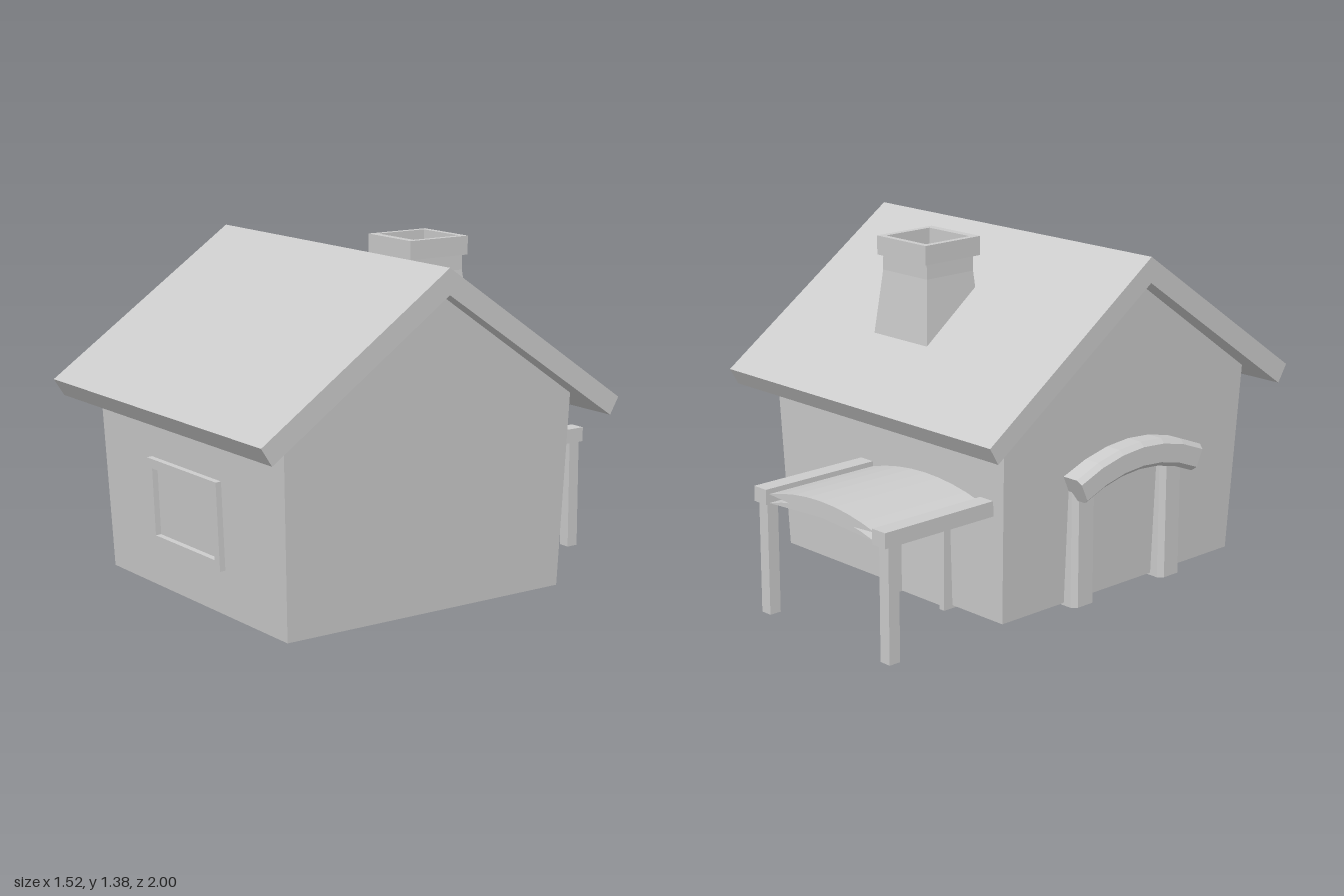
import * as THREE from 'three';

const mat = new THREE.MeshStandardMaterial({ color: 0xcccccc, flatShading: true, side: THREE.DoubleSide });

export function createModel() {
  const house = new THREE.Group();
  house.name = 'cottage';

  const add = (name, geometry) => {
    const mesh = new THREE.Mesh(geometry, mat);
    mesh.name = name;
    house.add(mesh);
    return mesh;
  };

  // Box given by its limits on each axis
  const box = (name, x0, x1, y0, y1, z0, z1) => {
    const g = new THREE.BoxGeometry(x1 - x0, y1 - y0, z1 - z0);
    g.translate((x0 + x1) / 2, (y0 + y1) / 2, (z0 + z1) / 2);
    return add(name, g);
  };

  // Skin over a row of rings (counter-clockwise seen from the last ring)
  const loft = (rings, capped = true) => {
    const n = rings[0].length, index = [];
    for (let k = 0; k < rings.length - 1; k++) {
      for (let i = 0; i < n; i++) {
        const j = (i + 1) % n, a = k * n + i, b = k * n + j;
        index.push(a, b, b + n, a, b + n, a + n);
      }
    }
    const last = (rings.length - 1) * n;
    for (let i = 1; capped && i < n - 1; i++) {
      index.push(0, i + 1, i, last, last + i, last + i + 1);
    }
    const g = new THREE.BufferGeometry();
    g.setAttribute('position', new THREE.Float32BufferAttribute(rings.flat(2), 3));
    g.setIndex(index);
    const flat = g.toNonIndexed();
    flat.computeVertexNormals();
    return flat;
  };

  const extrude = (points, depth, hole) => {
    const shape = new THREE.Shape(points.map(p => new THREE.Vector2(...p)));
    if (hole) shape.holes.push(new THREE.Path(hole.map(p => new THREE.Vector2(...p))));
    return new THREE.ExtrudeGeometry(shape, { depth, bevelEnabled: false });
  };
  const rect = (x0, x1, y0, y1) => [[x0, y0], [x1, y0], [x1, y1], [x0, y1]];

  // Walls: gabled block that widens slightly upward
  const gable = [[0.03, -0.457], [0.815, -0.482], [1.28, 0.18], [0.815, 0.847], [0.03, 0.815]];
  add('walls', loft([-1, 1].map(s =>
    gable.map(([y, z]) => [0.006 + s * (0.631 + 0.042 * (y - 0.03)), y, z]))));

  // Roof: folded slab with the ridge along x
  const roof = extrude([[-1, 0.8], [-0.955, 0.73], [-0.18, 1.26], [0.61, 0.718], [0.65, 0.785], [-0.18, 1.36]], 1.52);
  roof.rotateY(Math.PI / 2).translate(-0.76, 0, 0);
  add('roof', roof);

  // Chimney: flared hollow stack with a collar
  const square = (y, x0, x1, z0, z1) => [[x0, y, z1], [x1, y, z1], [x1, y, z0], [x0, y, z0]];
  add('chimneyStack', loft([
    square(0.95, -0.107, 0.207, -0.362, -0.068),
    square(1.24, -0.077, 0.177, -0.332, -0.092),
    square(1.33, -0.075, 0.175, -0.332, -0.092),
    square(1.33, -0.065, 0.165, -0.325, -0.1),
    square(0.95, -0.065, 0.165, -0.325, -0.1),
  ], false));
  const collar = extrude(rect(-0.09, 0.19, 0.067, 0.35), 0.075, rect(-0.065, 0.165, 0.1, 0.325));
  collar.rotateX(-Math.PI / 2).translate(0, 1.3, 0);
  add('chimneyCollar', collar);

  // Window frame, leaning with the front wall
  const frame = extrude(rect(-0.252, 0.252, -0.173, 0.173), 0.06, rect(-0.216, 0.216, -0.135, 0.135));
  const windowFrame = add('windowFrame', frame);
  windowFrame.position.set(-0.021, 0.383, 0.793);
  windowFrame.rotation.x = 0.041;

  // Back door with jambs and lintel
  box('door', -0.33, -0.07, 0.02, 0.41, -0.475, -0.44);
  for (const x of [-0.35, -0.078]) box('doorJamb', x, x + 0.026, 0.018, 0.41, -0.5, -0.2);
  box('doorLintel', -0.35, -0.052, 0.405, 0.432, -0.497, -0.25);

  // Porch: two posts, two beams and an arched cover
  for (const s of [-1, 1]) {
    const x = -0.215 + s * 0.34;
    box('porchBeam', x - 0.035, x + 0.035, 0.45, 0.51, -1, -0.43);
    const px = -0.213 + s * 0.346;
    box('porchPost', px - 0.025, px + 0.025, 0, 0.46, -0.98, -0.93);
  }
  const top = [], under = [];
  for (let i = 0; i <= 8; i++) {
    const t = i / 4 - 1, x = -0.215 + t * 0.305, y = 0.535 - 0.045 * t * t;
    top.push([x, y]);
    under.unshift([x, y - 0.035]);
  }
  const cover = extrude([...under, ...top.reverse()].reverse(), 0.555);
  cover.translate(0, 0, -0.985);
  add('porchCover', cover);

  // Side arch: chamfered beam bent over two chamfered posts on the left wall
  const beam = [];
  for (let i = 0; i <= 6; i++) {
    const t = i / 3 - 1, y = 0.575 - 0.075 * t * t, tilt = 0.44 * t;
    const section = [[-0.62, -0.055], [-0.62, 0.055], [-0.715, 0.055], [-0.735, 0.037], [-0.735, -0.037], [-0.715, -0.055]];
    beam.push(section.map(([x, h]) => [x, y + h * Math.cos(tilt), 0.188 + t * 0.325 + h * Math.sin(tilt)]));
  }
  add('archBeam', loft(beam));
  const w = 0.068, d = 0.06, c = 0.02;
  const outline = [[-w + c, -d], [w - c, -d], [w, -d + c], [w, d - c], [w - c, d], [-w + c, d], [-w, d - c], [-w, -d + c]];
  for (const z of [-0.07, 0.42]) {
    const post = extrude(outline, 0.5);
    post.rotateX(-Math.PI / 2).translate(-0.613, 0.02, z);
    add('archPost', post);
  }
  return house;
}
